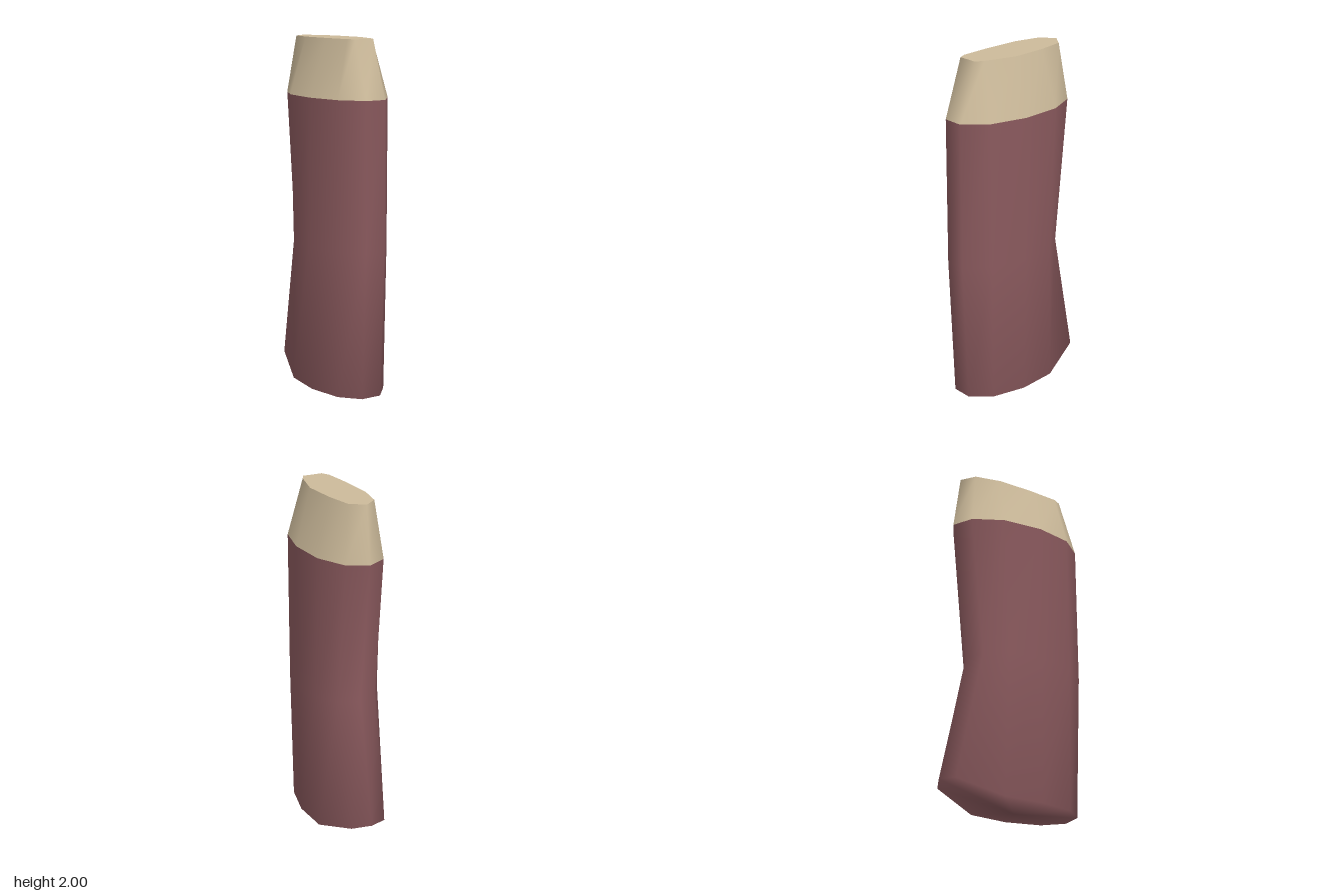
import * as THREE from 'three';

// Full ring from one half (back to front, +x side), each point [x, y, z]; the other half is mirrored
function mirrorRing(half) {
  const other = half.slice(1).reverse().map(([x, y, z]) => [-x, y, z]);
  return [...half, ...other];
}

// Skin a stack of rings, listed from bottom to top
function loft(rings) {
  const n = rings[0].length;
  const index = [];
  for (let r = 0; r < rings.length - 1; r++) {
    for (let i = 0; i < n; i++) {
      const a = r * n + i, b = r * n + (i + 1) % n;
      index.push(a, a + n, b, b, a + n, b + n);
    }
  }
  return { points: rings.flat(), index };
}

function toGeometry({ points, index }) {
  const g = new THREE.BufferGeometry();
  g.setAttribute('position', new THREE.Float32BufferAttribute(points.flat(), 3));
  g.setIndex(index);
  g.computeVertexNormals();
  return g;
}

export function createModel() {
  const group = new THREE.Group();
  const maroon = new THREE.MeshStandardMaterial({ color: 0x8b5a5e });
  maroon.name = 'maroon';
  const tan = new THREE.MeshStandardMaterial({ color: 0xcdbb9b });
  tan.name = 'tan';
  const add = (name, data, material) => {
    const mesh = new THREE.Mesh(toGeometry(data), material);
    mesh.name = name;
    group.add(mesh);
  };

  // Cross-sections: flared heel, narrow waist, shoulder
  const heel = mirrorRing([
    [0, 0.125, -0.425], [0.107, 0.11, -0.38], [0.19, 0.025, -0.13],
    [0.2, 0.02, 0.09], [0.155, 0.02, 0.29], [0.06, 0.02, 0.395],
  ]);
  const waist = mirrorRing([
    [0, 0.85, -0.275], [0.115, 0.85, -0.23], [0.195, 0.85, -0.11],
    [0.213, 0.85, 0.09], [0.163, 0.85, 0.3], [0.06, 0.85, 0.428],
  ]);
  const shoulder = mirrorRing([
    [0, 1.68, -0.372], [0.115, 1.68, -0.31], [0.195, 1.68, -0.14],
    [0.21, 1.68, 0.09], [0.163, 1.68, 0.3], [0.06, 1.68, 0.424],
  ]);
  // The top is slightly lopsided
  const top = [
    [0, -0.33], [0.08, -0.27], [0.11, -0.115], [0.125, 0.085], [0.08, 0.27], [0.055, 0.315],
    [-0.06, 0.315], [-0.083, 0.27], [-0.1, 0.085], [-0.105, -0.12], [-0.076, -0.27],
  ].map(([x, z]) => [x, 2, z]);
  const n = top.length;

  // Body with its rounded-in underside
  const body = loft([heel, waist, shoulder]);
  const centre = body.points.push([0, 0.003, 0.03]) - 1;
  for (let i = 0; i < n; i++) body.index.push(centre, i, (i + 1) % n);
  add('body', body, maroon);

  // Tapered end and its flat cap
  add('taperedEnd', loft([shoulder, top]), tan);
  const cap = { points: [...top, [0, 2, 0]], index: [] };
  for (let i = 0; i < n; i++) cap.index.push(n, (i + 1) % n, i);
  add('endCap', cap, tan);

  return group;
}
